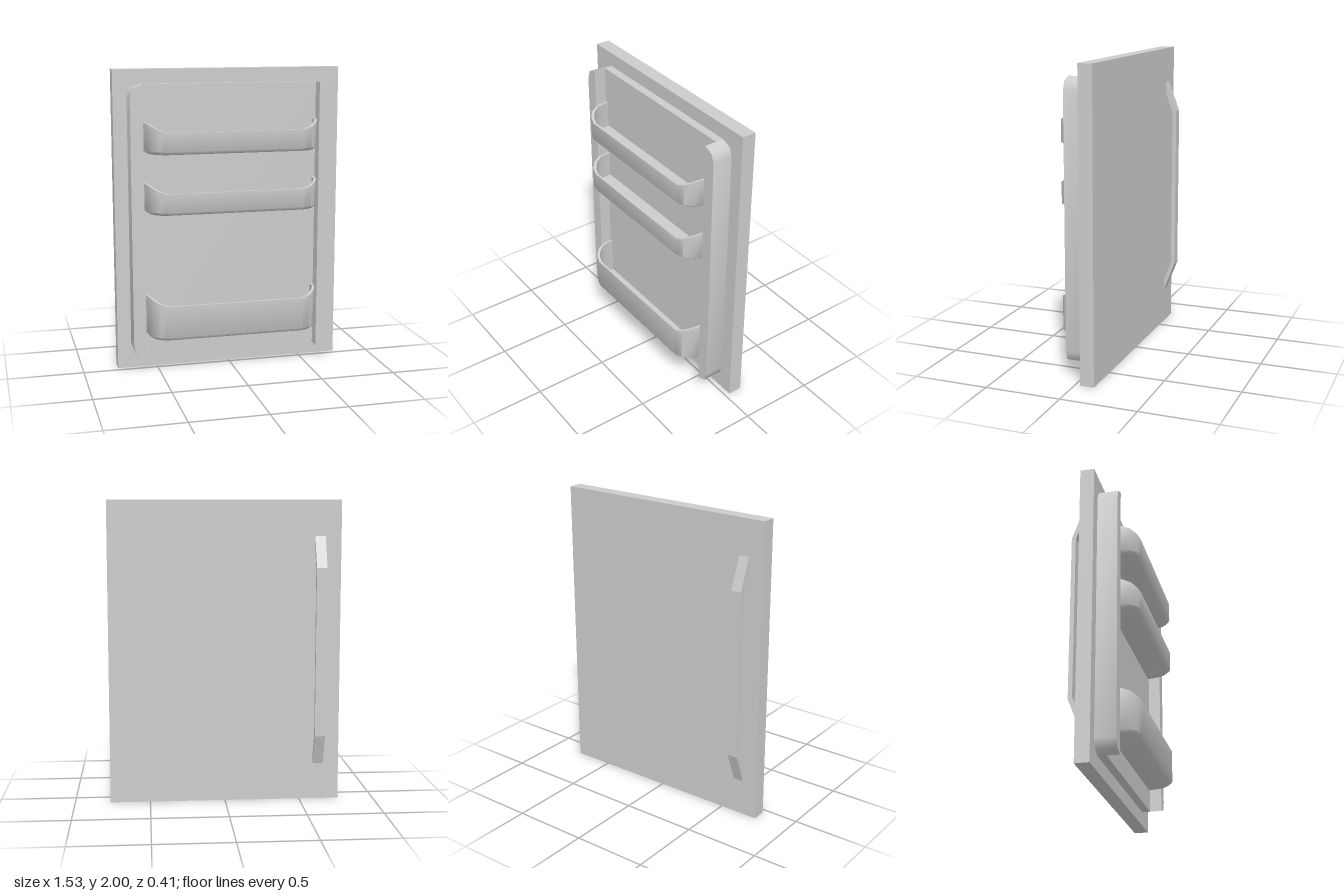
import * as THREE from 'three';
import { toCreasedNormals } from 'three/addons/utils/BufferGeometryUtils.js';

const material = new THREE.MeshStandardMaterial({ color: 0xcccccc });

function part(name, geometry, parent) {
  const mesh = new THREE.Mesh(geometry, material);
  mesh.name = name;
  parent.add(mesh);
  return mesh;
}

function box(x0, x1, y0, y1, z0, z1) {
  return new THREE.BoxGeometry(x1 - x0, y1 - y0, z1 - z0)
    .translate((x0 + x1) / 2, (y0 + y1) / 2, (z0 + z1) / 2);
}

function extrude(points, depth) {
  const shape = new THREE.Shape(points.map(([x, y]) => new THREE.Vector2(x, y)));
  return new THREE.ExtrudeGeometry(shape, { depth, bevelEnabled: false });
}

// Half of the bin outline seen from above: x, z, extra height of the rim
const BACK = 0.02, HALF = 0.584, DEEP = 0.185;
const halfPath = [
  [0.584, BACK, 0.052], [0.572, 0.107, 0.05], [0.549, 0.156, 0.036],
  [0.512, 0.189, 0.015], [0.461, 0.205, 0],
];
const binPath = [
  ...halfPath.map(([x, z, rise]) => [-x, z, rise]),
  ...[...halfPath].reverse(),
];

// Open-topped bin: one wall-and-floor section swept round the outline
function binGeometry(bottom, top) {
  const wall = 0.015, chamfer = 0.02;
  const rings = binPath.map(([x, z, rise]) => {
    const at = (inset, y) => new THREE.Vector3(
      x * (1 - inset / HALF), y, BACK + (z - BACK) * (1 - inset / DEEP));
    const centre = (y) => new THREE.Vector3(0, y, BACK);
    return [
      centre(bottom), at(chamfer, bottom), at(0, bottom + chamfer), at(0, top + rise),
      at(wall, top + rise), at(wall, bottom + chamfer), centre(bottom + chamfer),
    ];
  });
  const pos = [];
  const tri = (a, b, c) => {
    if (a.equals(b) || b.equals(c) || c.equals(a)) return;
    for (const p of [a, b, c]) pos.push(p.x, p.y, p.z);
  };
  for (let i = 0; i < rings.length - 1; i++) {
    for (let j = 0; j < rings[i].length - 1; j++) {
      const a = rings[i][j], b = rings[i + 1][j];
      const c = rings[i + 1][j + 1], d = rings[i][j + 1];
      tri(a, b, c);
      tri(a, c, d);
    }
  }
  const geometry = new THREE.BufferGeometry();
  geometry.setAttribute('position', new THREE.Float32BufferAttribute(pos, 3));
  return toCreasedNormals(geometry, 0.9);
}

export function createModel() {
  const door = new THREE.Group();
  door.name = 'refrigeratorDoor';

  // Flat outer door and the shallow inner panel
  part('doorPanel', box(-0.765, 0.765, 0, 2, -0.127, -0.034), door);
  part('linerPanel', box(-0.59, 0.59, 0.095, 1.907, -0.034, BACK), door);

  // Raised side rails with rounded outer corners
  for (const side of [1, -1]) {
    const outline = [
      [0.59, 0.095], [0.653, 0.117], [0.674, 0.175],
      [0.674, 1.825], [0.653, 1.883], [0.59, 1.907],
    ].map(([x, y]) => [side * x, y]);
    const rail = extrude(outline, 0.134).translate(0, 0, -0.034);
    part(side > 0 ? 'leftRail' : 'rightRail', toCreasedNormals(rail, 0.95), door);
  }

  // Storage bins
  const bins = [['lowerBin', 0.24, 0.472], ['middleBin', 1.075, 1.218], ['upperBin', 1.467, 1.612]];
  for (const [name, bottom, top] of bins) part(name, binGeometry(bottom, top), door);

  // Bent strap handle on the outside, profile in z and y
  const handle = extrude([
    [-0.126, 0.24], [-0.205, 0.445], [-0.205, 1.56], [-0.126, 1.767],
    [-0.126, 1.69], [-0.178, 1.553], [-0.178, 0.452], [-0.126, 0.317],
  ], 0.069);
  part('handle', handle.rotateY(-Math.PI / 2).translate(-0.592, 0, 0), door);

  return door;
}
